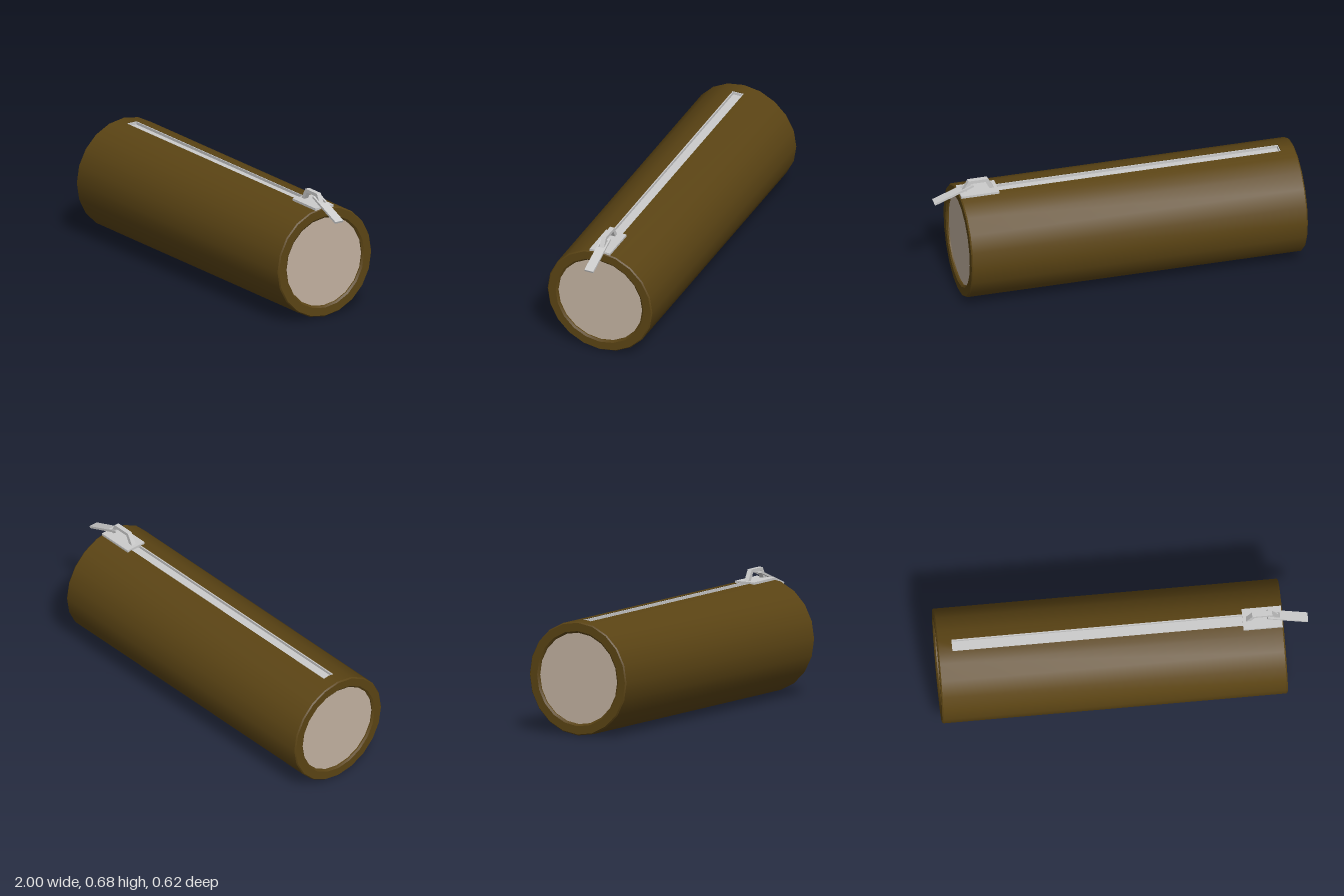
import * as THREE from 'three';
import { toCreasedNormals } from 'three/addons/utils/BufferGeometryUtils.js';

const R = 0.31, RI = 0.249, CY = 0.3125, SIDES = 20;
const X0 = -1, X1 = 0.867;            // ends of the case
const SLOT0 = -0.92, SLOT1 = 0.85;    // ends of the zip slot
const SLOT_HALF = 0.033;

const mat = (color) => new THREE.MeshStandardMaterial({ color });

// Sweeps unit section points (z, y) along x; each profile row is [x, radius].
function loft(profile, section) {
  const pos = [], index = [], n = section.length;
  profile.forEach(([x, r]) => section.forEach((p) => pos.push(x, CY + p.y * r, p.x * r)));
  for (let i = 0; i < profile.length - 1; i++) {
    for (let j = 0; j < n - 1; j++) {
      const a = i * n + j, b = a + 1, c = b + n, d = a + n;
      index.push(a, b, c, a, c, d);
    }
  }
  const g = new THREE.BufferGeometry();
  g.setAttribute('position', new THREE.Float32BufferAttribute(pos, 3));
  g.setIndex(index);
  return toCreasedNormals(g, 0.5);
}

export function createModel() {
  const model = new THREE.Group();
  model.name = 'tubeCase';
  const fabric = mat(0x5b4414), lining = mat(0xc3b2a1), metal = mat(0xcccccc);
  fabric.side = THREE.DoubleSide;

  const add = (parent, name, geometry, material) => {
    const mesh = new THREE.Mesh(geometry, material);
    mesh.name = name;
    parent.add(mesh);
    return mesh;
  };
  const box = (parent, name, x0, x1, y0, y1, z0, z1) => {
    const g = new THREE.BoxGeometry(x1 - x0, y1 - y0, z1 - z0);
    g.translate((x0 + x1) / 2, (y0 + y1) / 2, (z0 + z1) / 2);
    return add(parent, name, g, metal);
  };

  // Tube body, open along the top where the zip runs
  const corner = (k) => {
    const a = (k / SIDES) * Math.PI * 2;
    return new THREE.Vector2(Math.sin(a), Math.cos(a));
  };
  const f = SLOT_HALF / (R * Math.sin((2 * Math.PI) / SIDES));
  const edgeA = corner(0).lerp(corner(1), f);
  const edgeB = corner(0).lerp(corner(-1), f);
  const section = [edgeA];
  for (let k = 1; k < SIDES; k++) section.push(corner(k));
  section.push(edgeB);
  const roof = [edgeB, corner(0), edgeA];

  const leftRim = [[X0 + 0.025, RI], [X0 + 0.008, RI], [X0, RI + 0.01], [X0, R - 0.006], [X0 + 0.007, R]];
  const rightRim = [[X1 - 0.007, R], [X1, R - 0.006], [X1, RI + 0.01], [X1 - 0.008, RI], [X1 - 0.025, RI]];
  add(model, 'body', loft([...leftRim, ...rightRim], section), fabric);
  add(model, 'bodyTopLeftEnd', loft([...leftRim, [SLOT0, R], [SLOT0, R - 0.025]], roof), fabric);
  add(model, 'bodyTopRightEnd', loft([[SLOT1, R - 0.025], [SLOT1, R], ...rightRim], roof), fabric);

  // Inset end discs, as one inner core
  const core = new THREE.CylinderGeometry(RI, RI, X1 - X0 - 0.03, SIDES);
  core.rotateZ(Math.PI / 2);
  core.translate((X0 + X1) / 2, CY, 0);
  add(model, 'endDiscs', toCreasedNormals(core, 0.5), lining);

  // Zip channel: floor and thin side walls
  const zip = new THREE.Group();
  zip.name = 'zip';
  model.add(zip);
  box(zip, 'zipFloor', SLOT0, SLOT1, 0.59, 0.601, -SLOT_HALF, SLOT_HALF);
  for (const s of [-1, 1]) {
    const z = s * (SLOT_HALF - 0.003);
    box(zip, 'zipWall', SLOT0, SLOT1, 0.59, 0.616, z - 0.003, z + 0.003);
  }
  box(zip, 'zipEndStop', SLOT0, SLOT0 + 0.006, 0.59, 0.616, -SLOT_HALF, SLOT_HALF);

  // Slider: plate and raised bridge
  const slider = new THREE.Group();
  slider.name = 'slider';
  model.add(slider);
  box(slider, 'sliderPlate', 0.65, 0.862, 0.612, 0.626, -0.06, 0.06);
  const bridge = new THREE.Shape([
    [0.665, 0.62], [0.702, 0.686], [0.81, 0.686], [0.845, 0.62],
    [0.822, 0.62], [0.797, 0.668], [0.715, 0.668], [0.69, 0.62],
  ].map(([x, y]) => new THREE.Vector2(x, y)));
  const bridgeGeo = new THREE.ExtrudeGeometry(bridge, { depth: 0.026, bevelEnabled: false });
  bridgeGeo.translate(0, 0, -0.013);
  add(slider, 'sliderBridge', bridgeGeo, metal);

  // Pull tab hanging from the bridge through its hole
  const rect = (Type, u0, u1, v) => {
    const p = new Type();
    p.moveTo(u0, -v).lineTo(u1, -v).lineTo(u1, v).lineTo(u0, v).closePath();
    return p;
  };
  const tab = rect(THREE.Shape, 0, 0.233, 0.026);
  tab.holes.push(rect(THREE.Path, 0.014, 0.068, 0.016));
  const tabGeo = new THREE.ExtrudeGeometry(tab, { depth: 0.012, bevelEnabled: false });
  tabGeo.rotateX(-Math.PI / 2);
  const pull = add(slider, 'pullTab', tabGeo, metal);
  pull.position.set(0.782, 0.657, -0.003);
  pull.rotation.set(0, -0.02, -0.385);

  return model;
}
